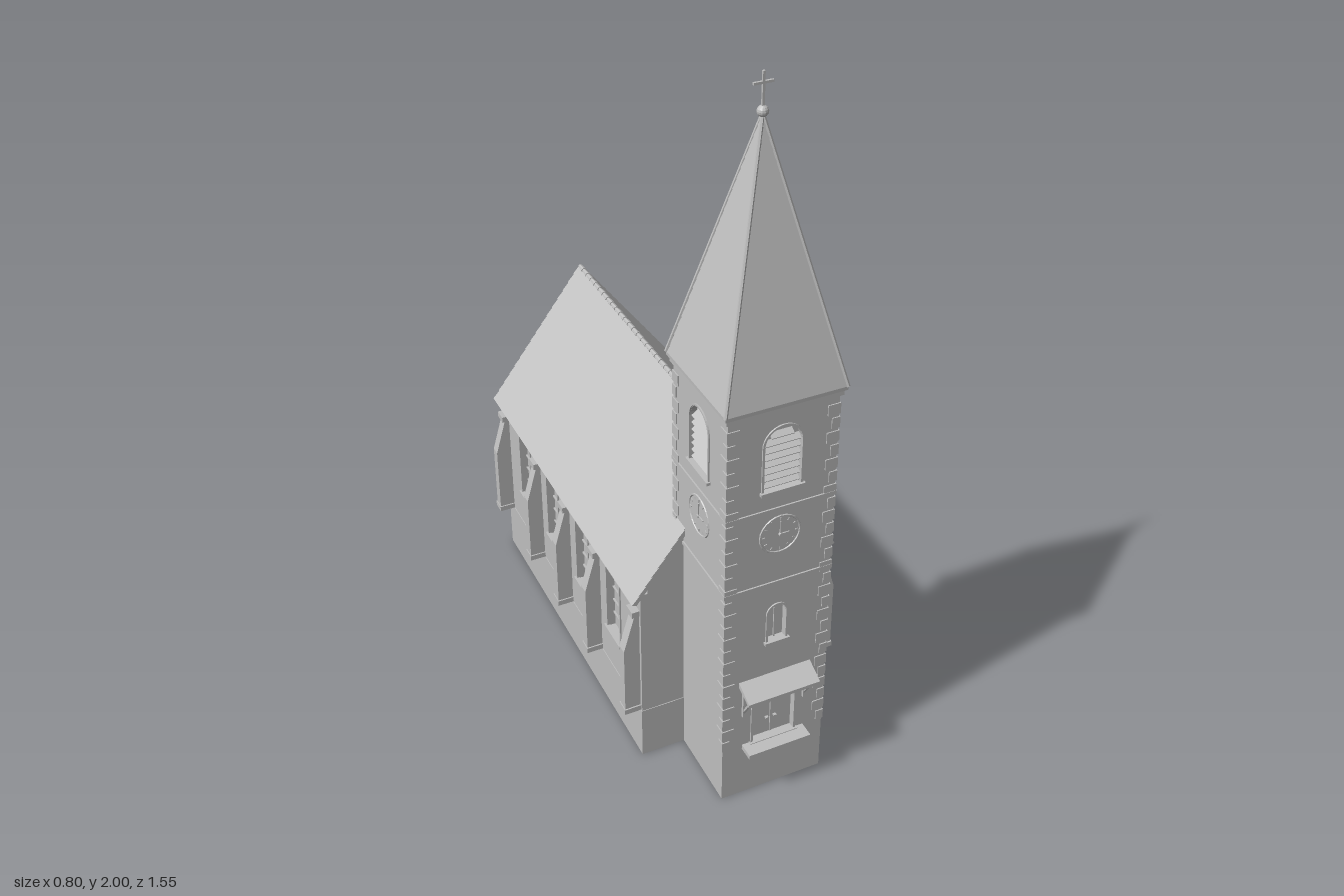
import * as THREE from 'three';

const stone = new THREE.MeshStandardMaterial({ color: 0xbfbfbf, flatShading: true });
stone.name = 'grey stone';
const CX = -0.085;   // church axis
const TZ = 0.57;     // tower centre in z
const TH = 0.147;    // tower half width

function add(parent, name, geo, x = 0, y = 0, z = 0) {
  const m = new THREE.Mesh(geo, stone);
  m.name = name;
  m.position.set(x, y, z);
  parent.add(m);
  return m;
}
const box = (p, name, w, h, d, x, y, z) => add(p, name, new THREE.BoxGeometry(w, h, d), x, y, z);
const poly = pts => new THREE.Shape(pts.map(p => new THREE.Vector2(p[0], p[1])));
const extrude = (shape, depth) => new THREE.ExtrudeGeometry(shape, { depth, bevelEnabled: false, curveSegments: 8 });

// Round-headed opening, w wide and h high, standing on y
function arch(x, y, w, h, Kind = THREE.Path) {
  const s = new Kind(), r = w / 2;
  s.moveTo(x - r, y);
  s.lineTo(x + r, y);
  s.lineTo(x + r, y + h - r);
  s.absarc(x, y + h - r, r, 0, Math.PI, false);
  s.lineTo(x - r, y);
  return s;
}
// Wall slab whose outer face lies at local z, with arched holes [x, y, w, h]
function wall(p, name, x0, x1, h, thick, z, holes) {
  const s = poly([[x0, 0], [x1, 0], [x1, h], [x0, h]]);
  s.holes = holes.map(o => arch(...o));
  add(p, name, extrude(s, thick), 0, 0, z - thick);
}
// Raised surround with a sill
function frame(p, name, x, y, w, h, z) {
  const s = arch(x, y, w + 0.012, h + 0.006, THREE.Shape);
  s.holes = [arch(x, y + 0.001, w, h)];
  add(p, name, extrude(s, 0.004), 0, 0, z);
  box(p, name + 'Sill', w + 0.02, 0.008, 0.014, x, y - 0.002, z + 0.003);
}
// Tile courses climbing from a to b, each lapping outwards by s
function courses(a, b, n, s) {
  const out = [];
  for (let i = 0; i < n; i++) {
    const at = t => [a[0] + (b[0] - a[0]) * t, a[1] + (b[1] - a[1]) * t];
    const lo = at(i / n), hi = at((i + 1) / n);
    out.push([lo[0] + s, lo[1]], hi);
  }
  return out;
}
const lathe = (pts, seg, start, len) =>
  new THREE.LatheGeometry(pts.map(p => new THREE.Vector2(p[0], p[1])), seg, start, len);
// Round bar between two points
function bar(p, name, a, b, r) {
  const A = new THREE.Vector3(...a), B = new THREE.Vector3(...b), d = B.clone().sub(A);
  const m = add(p, name, new THREE.CylinderGeometry(r, r, d.length(), 6));
  m.position.copy(A).add(B).multiplyScalar(0.5);
  m.quaternion.setFromUnitVectors(new THREE.Vector3(0, 1, 0), d.normalize());
}

function buildNave(root) {
  const nave = new THREE.Group();
  nave.name = 'nave';
  nave.position.x = CX;
  root.add(nave);
  const z0 = -0.54, z1 = 0.48, len = z1 - z0;
  add(nave, 'naveBody', extrude(poly([[-0.25, 0], [0.25, 0], [0.25, 0.592], [0, 0.925], [-0.25, 0.592]]), len), 0, 0, z0);
  box(nave, 'navePlinth', 0.544, 0.16, len + 0.004, 0, 0.08, (z0 + z1) / 2);

  // Side walls with windows, buttresses and eaves cornice
  for (const s of [1, -1]) {
    const side = new THREE.Group();
    side.name = s > 0 ? 'leftSide' : 'rightSide';
    side.rotation.y = s * Math.PI / 2;
    nave.add(side);
    const u = z => -s * z;   // along-wall coordinate
    const wins = [0.30, 0.08, -0.143, -0.365].map(z => [u(z), 0.285, 0.085, 0.245]);
    wall(side, 'sideWall', Math.min(u(z0), u(z1)), Math.max(u(z0), u(z1)), 0.565, 0.02, 0.27, wins);
    for (const [x, y, w, h] of wins) {
      frame(side, 'windowFrame', x, y, w, h, 0.27);
      box(side, 'mullion', 0.006, h, 0.006, x, y + h / 2, 0.253);
      for (let i = 1; i < 5; i++) box(side, 'glazingBar', w, 0.004, 0.005, x, y + i * 0.045, 0.253);
    }
    for (const z of [0.455, 0.19, -0.03, -0.255, -0.52]) {
      const g = extrude(poly([[0.26, 0.16], [0.315, 0.16], [0.315, 0.38], [0.281, 0.5], [0.26, 0.5]]), 0.03);
      g.translate(0, 0, -0.015);
      const b = add(side, 'buttress', g, u(z));
      b.rotation.y = -Math.PI / 2;
      box(side, 'buttressFoot', 0.038, 0.016, 0.055, u(z), 0.168, 0.29);
      box(side, 'buttressCap', 0.038, 0.018, 0.03, u(z), 0.5, 0.277);
    }
    box(side, 'cornice', len, 0.016, 0.02, u((z0 + z1) / 2), 0.557, 0.274);
    for (let i = 0; i < 34; i++) box(side, 'corbel', 0.012, 0.012, 0.012, u(z0 + 0.015 + i * 0.03), 0.544, 0.275);
  }

  // Tiled gable roof
  const right = courses([0.294, 0.55], [0, 0.945], 16, 0.004);
  const left = right.slice(0, -1).reverse().map(([x, y]) => [-x, y]);
  const roof = poly([...right, ...left, [-0.285, 0.545], [0, 0.922], [0.285, 0.545]]);
  add(nave, 'naveRoof', extrude(roof, 1.045), 0, 0, -0.555);
  for (let i = 0; i < 32; i++) {
    const cap = add(nave, 'ridgeTile', new THREE.CylinderGeometry(0.008, 0.006, 0.03, 8), 0, 0.941, -0.539 + i * 0.0305);
    cap.rotation.x = Math.PI / 2;
  }

  // Rounded apse with half-cone roof
  add(nave, 'apseWall', new THREE.CylinderGeometry(0.213, 0.213, 0.545, 8, 1, false, Math.PI / 2, Math.PI), 0, 0.2725, -0.538);
  const cone = [[0, 0.535], [0.23, 0.535], ...courses([0.228, 0.545], [0, 0.765], 10, 0.003)];
  add(nave, 'apseRoof', lathe(cone, 8, Math.PI / 2, Math.PI), 0, 0, -0.548);
}

function buildTower(root) {
  const tower = new THREE.Group();
  tower.name = 'tower';
  tower.position.set(CX, 0, TZ);
  root.add(tower);
  box(tower, 'towerCore', 0.262, 1.235, 0.262, 0, 0.6175, 0);
  const names = ['front', 'left', 'back', 'right'];
  names.forEach((n, k) => {
    const f = new THREE.Group();
    f.name = n + 'TowerFace';
    f.rotation.y = k * Math.PI / 2;
    tower.add(f);
    const holes = [[0, 0.99, 0.1, 0.18]];
    if (k === 0) holes.push([0, 0.51, 0.05, 0.115], [0, 0.175, 0.12, 0.175]);
    wall(f, 'towerWall', -TH, TH, 1.235, 0.016, TH, holes);
    holes.forEach(([x, y, w, h], i) => frame(f, ['belfryFrame', 'smallWindowFrame', 'doorFrame'][i], x, y, w, h, TH));
    for (let i = 0; i < 8; i++) {
      const slat = box(f, 'louvre', i > 6 ? 0.06 : 0.098, 0.004, 0.018, 0, 1.003 + i * 0.02, TH - 0.01);
      slat.rotation.x = 0.6;
    }
    if (k !== 2) {
      add(f, 'clockRing', new THREE.TorusGeometry(0.055, 0.003, 6, 24), 0, 0.85, TH);
      const hub = add(f, 'clockHub', new THREE.CylinderGeometry(0.005, 0.005, 0.008, 8), 0, 0.85, TH + 0.003);
      hub.rotation.x = Math.PI / 2;
      for (let i = 0; i < 12; i++) {
        const a = i * Math.PI / 6;
        box(f, 'hourMark', 0.003, 0.008, 0.004, 0.045 * Math.sin(a), 0.85 + 0.045 * Math.cos(a), TH).rotation.z = -a;
      }
      box(f, 'minuteHand', 0.003, 0.04, 0.003, 0, 0.868, TH + 0.002);
      box(f, 'hourHand', 0.026, 0.003, 0.003, 0.012, 0.85, TH + 0.002);
    }
  });

  // Corner quoins, string courses and cornice
  for (let i = 0; i < 26; i++) {
    const a = i % 2 ? 0.034 : 0.022;
    for (const sx of [1, -1]) for (const sz of [1, -1])
      box(tower, 'quoin', a, 0.03, a, sx * (TH + 0.003 - a / 2), 0.19 + i * 0.0395, sz * (TH + 0.003 - a / 2));
  }
  for (const y of [0.7, 0.93]) box(tower, 'stringCourse', 0.302, 0.01, 0.302, 0, y, 0);
  box(tower, 'towerCornice', 0.308, 0.016, 0.308, 0, 1.224, 0);

  // Entrance: door leaf, step, canopy on brackets
  box(tower, 'doorSplit', 0.004, 0.165, 0.004, 0, 0.26, 0.133);
  for (const s of [1, -1]) box(tower, 'doorHandle', 0.008, 0.005, 0.008, s * 0.012, 0.23, 0.135);
  box(tower, 'doorStep', 0.18, 0.014, 0.05, 0, 0.168, TH + 0.02);
  box(tower, 'lowerStep', 0.15, 0.01, 0.03, 0, 0.156, TH + 0.01);
  const canopy = extrude(poly([[0.14, 0.385], [0.205, 0.362], [0.205, 0.372], [0.14, 0.402]]), 0.205);
  canopy.translate(0, 0, -0.1025);
  add(tower, 'doorCanopy', canopy).rotation.y = -Math.PI / 2;
  for (const s of [1, -1]) {
    bar(tower, 'canopyBracket', [s * 0.088, 0.29, TH], [s * 0.088, 0.365, TH + 0.045], 0.005);
    box(tower, 'bracketPost', 0.01, 0.1, 0.01, s * 0.088, 0.33, TH + 0.003);
  }
  box(tower, 'smallWindowMullion', 0.004, 0.11, 0.004, 0, 0.565, 0.134);

  // Tiled spire with hip ridges
  const R2 = Math.SQRT2;
  const pts = [[0, 1.232], [0.16 * R2, 1.232], ...courses([0.159 * R2, 1.242], [0.003, 1.9], 24, 0.002)];
  add(tower, 'spire', lathe(pts, 4, Math.PI / 4, Math.PI * 2));
  for (const sx of [1, -1]) for (const sz of [1, -1])
    bar(tower, 'hipRidge', [sx * 0.16, 1.242, sz * 0.16], [0, 1.9, 0], 0.005);

  // Ball and cross
  add(tower, 'finialBall', new THREE.SphereGeometry(0.014, 12, 8), 0, 1.906, 0);
  box(tower, 'crossUpright', 0.006, 0.09, 0.006, 0, 1.955, 0);
  box(tower, 'crossArm', 0.05, 0.006, 0.006, 0, 1.973, 0);
}

function buildAnnex(root) {
  const annex = new THREE.Group();
  annex.name = 'annex';
  root.add(annex);
  add(annex, 'annexBody', extrude(poly([[0.17, 0], [0.375, 0], [0.375, 0.335], [0.17, 0.385]]), 0.26), 0, 0, -0.44);
  // Lean-to roof with lapped tiles
  const top = courses([0.394, 0.343], [0.18, 0.402], 7, 0.004);
  add(annex, 'annexRoof', extrude(poly([...top, [0.18, 0.385], [0.394, 0.328]]), 0.287), 0, 0, -0.458);
  // Side window with bars
  for (const s of [1, -1]) {
    box(annex, 'annexWindowJamb', 0.008, 0.06, 0.007, 0.377, 0.25, -0.31 + s * 0.026);
    box(annex, 'annexWindowRail', 0.008, 0.007, 0.058, 0.377, 0.25 + s * 0.03, -0.31);
  }
  box(annex, 'annexWindowBar', 0.005, 0.06, 0.004, 0.376, 0.25, -0.31);
  // Door on the front side
  for (const s of [1, -1]) box(annex, 'annexDoorJamb', 0.007, 0.14, 0.006, 0.275 + s * 0.033, 0.23, -0.179);
  box(annex, 'annexDoorLintel', 0.073, 0.008, 0.006, 0.275, 0.302, -0.179);
  box(annex, 'annexDoorStep', 0.08, 0.008, 0.016, 0.275, 0.157, -0.174);
  box(annex, 'annexDoorHandle', 0.008, 0.006, 0.008, 0.295, 0.22, -0.178);
}

export function createModel() {
  const root = new THREE.Group();
  root.name = 'church';
  buildNave(root);
  buildTower(root);
  buildAnnex(root);
  return root;
}
